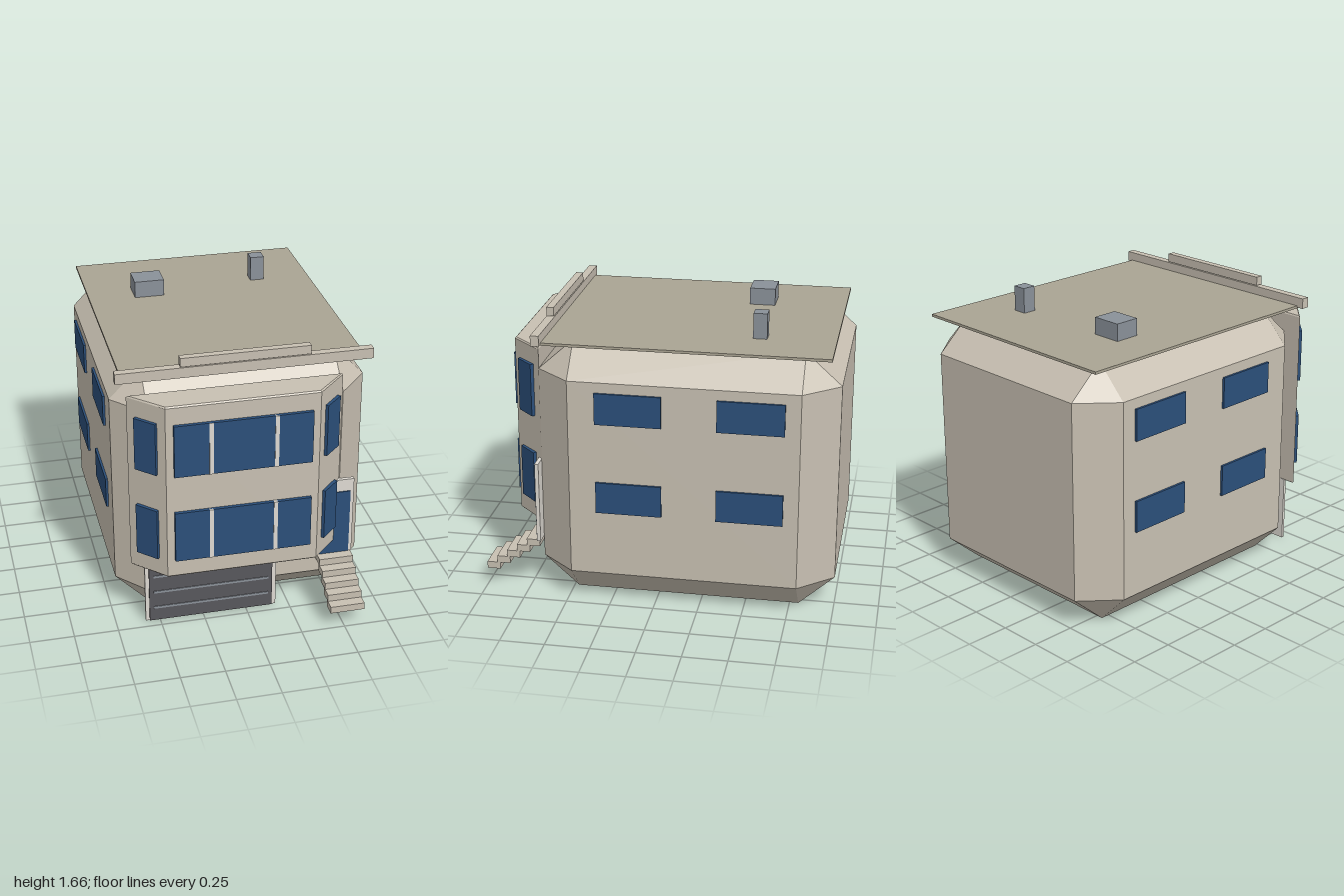
import * as THREE from 'three';
import { ConvexGeometry } from 'three/addons/geometries/ConvexGeometry.js';

const mat = (color) => new THREE.MeshStandardMaterial({ color, flatShading: true });

export function createModel() {
  const house = new THREE.Group();
  house.name = 'house';

  const wall = mat(0xc8c0b2);
  const roofing = mat(0xaaa493);
  const glass = mat(0x2b4f7a);
  const trim = mat(0xdedad2);
  const metal = mat(0x8a9199);
  const shutter = mat(0x58575c);

  const add = (name, geometry, material) => {
    const mesh = new THREE.Mesh(geometry, material);
    mesh.name = name;
    house.add(mesh);
    return mesh;
  };
  // Box given by its limits on each axis
  const box = (name, material, [x0, x1], [y0, y1], [z0, z1]) => {
    const mesh = add(name, new THREE.BoxGeometry(x1 - x0, y1 - y0, z1 - z0), material);
    mesh.position.set((x0 + x1) / 2, (y0 + y1) / 2, (z0 + z1) / 2);
    return mesh;
  };

  // Main block: a box with every edge chamfered and its corners cut to triangles
  const half = [0.715, 0.75, 0.8375];
  const cut = [0.175, 0.18, 0.2];
  const corners = [];
  for (const sx of [-1, 1]) for (const sy of [-1, 1]) for (const sz of [-1, 1]) {
    const sign = [sx, sy, sz];
    for (let face = 0; face < 3; face++) {
      const p = sign.map((s, i) => s * (half[i] - (i === face ? 0 : cut[i])));
      corners.push(new THREE.Vector3(...p));
    }
  }
  const body = add('mainBlock', new ConvexGeometry(corners), wall);
  body.position.set(0, 0.75, -0.1625);

  // Roof slab, front fascia and the rooftop boxes
  box('roofSlab', roofing, [-0.67, 0.67], [1.498, 1.513], [-0.95, 0.64]);
  box('fascia', wall, [-0.71, 0.705], [1.503, 1.562], [0.625, 0.672]);
  box('fasciaCap', wall, [-0.36, 0.355], [1.566, 1.616], [0.628, 0.67]);
  box('roofVent', metal, [-0.405, -0.232], [1.51, 1.61], [-0.542, -0.395]);
  box('chimney', metal, [0.315, 0.395], [1.51, 1.657], [-0.572, -0.495]);

  // Two-storey bay with slanted sides
  const bayShape = new THREE.Shape([
    [-0.655, 0.675], [-0.482, 0.855], [0.362, 0.855], [0.535, 0.675],
  ].map(([x, z]) => new THREE.Vector2(x, -z)));
  const bevel = 0.008;
  const bay = add('bay', new THREE.ExtrudeGeometry(bayShape, {
    depth: 1.05 - 2 * bevel, bevelThickness: bevel, bevelSize: bevel,
    bevelOffset: -bevel, bevelSegments: 1,
  }).rotateX(-Math.PI / 2), wall);
  bay.position.y = 0.385 + bevel;

  // Bay windows on both floors
  for (const y of [[0.495, 0.798], [1.02, 1.327]]) {
    box('bayWindow', glass, [-0.44, 0.32], y, [0.845, 0.875]);
    for (const x of [-0.239, 0.119]) {
      box('bayMullion', trim, [x - 0.011, x + 0.011], y, [0.846, 0.878]);
    }
    for (const [x, side] of [[-0.5725, -1], [0.4525, 1]]) {
      const pane = add('baySideWindow', new THREE.BoxGeometry(0.138, y[1] - y[0], 0.022), glass);
      pane.position.set(x, (y[0] + y[1]) / 2, 0.772);
      pane.rotation.y = side * Math.PI / 4;
    }
  }

  // Side windows, mirrored left and right
  for (const side of [-1, 1]) {
    for (const y of [[0.557, 0.738], [1.082, 1.262]]) {
      for (const z of [[-0.716, -0.347], [-0.044, 0.324]]) {
        const pane = box('sideWindow', glass, [0.70, 0.728], y, z);
        pane.position.x *= side;
      }
    }
  }

  // Garage door with its frame and ribs
  box('garageFrame', trim, [-0.582, 0.177], [0, 0.388], [0.675, 0.692]);
  box('garageDoor', shutter, [-0.56, 0.153], [0.002, 0.375], [0.68, 0.7]);
  for (const y of [0.088, 0.191, 0.294]) {
    box('garageRib', metal, [-0.535, 0.13], [y - 0.007, y + 0.007], [0.69, 0.704]);
  }

  // Entrance door and the floating steps up to it
  box('doorFrame', trim, [0.402, 0.62], [0.3, 0.777], [0.675, 0.697]);
  box('door', glass, [0.42, 0.6], [0.302, 0.702], [0.68, 0.703]);
  for (let i = 0; i < 5; i++) {
    const y = 0.1 + i * 0.041;
    const front = 1 - i * 0.06;
    box('step', wall, [0.415, 0.612], [y, y + 0.041], [front - 0.077, front]);
  }

  return house;
}
